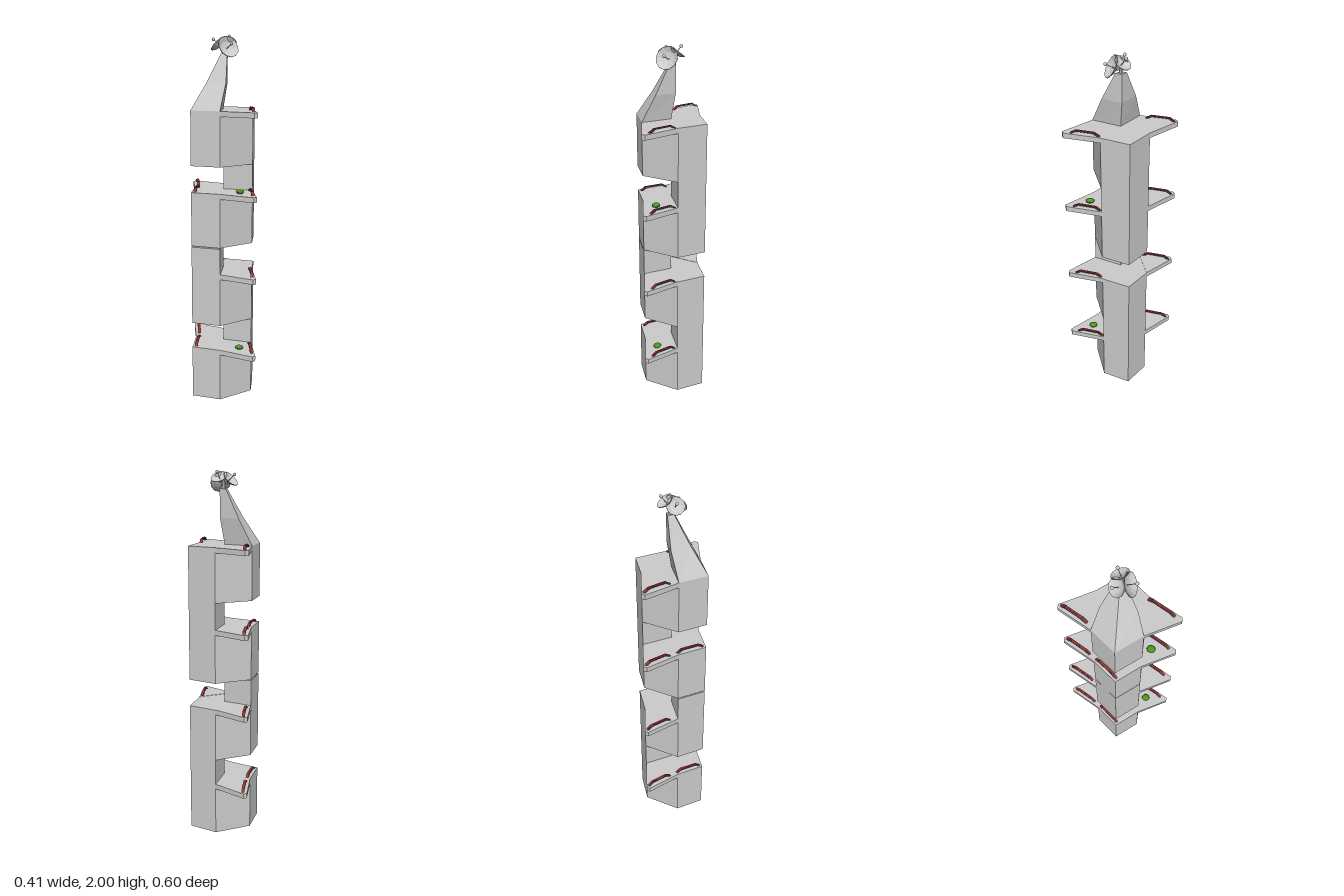
import * as THREE from 'three';

const mat = (color, opts = {}) => new THREE.MeshStandardMaterial({ color, flatShading: true, ...opts });
const grey = mat(0xcccccc);
const greyThin = mat(0xcccccc, { side: THREE.DoubleSide });
const dark = mat(0x555555);
const red = mat(0xdd1111);
const green = mat(0x4c9a1e);

const FLOORS = [0.295, 0.732, 1.175, 1.61];

function add(parent, name, geometry, material = grey) {
  const mesh = new THREE.Mesh(geometry, material);
  mesh.name = name;
  parent.add(mesh);
  return mesh;
}

const shapeOf = pts => new THREE.Shape(pts.map(p => new THREE.Vector2(...p)));

// Upright prism with plan corners [x, z] between two heights
function prism(plan, y0, y1) {
  const geo = new THREE.ExtrudeGeometry(shapeOf(plan.map(([x, z]) => [x, -z])), { depth: y1 - y0, bevelEnabled: false });
  return geo.rotateX(-Math.PI / 2).translate(0, y0, 0);
}

// Low arched rail along x: dark frame with a thin red stripe wrapped over it
function makeRail(x, y, z, angle) {
  const rail = new THREE.Group();
  rail.name = 'rail';
  const arch = (grow, width) => {
    const t = 0.005 + grow, h = 0.018;
    const geo = new THREE.ExtrudeGeometry(shapeOf([
      [-0.078 - grow, 0], [-0.05 - grow, h + grow], [0.05 + grow, h + grow], [0.078 + grow, 0],
      [0.07 - t / 2, 0], [0.047 - t / 2, h - t], [-0.047 + t / 2, h - t], [-0.07 + t / 2, 0],
    ]), { depth: width, bevelEnabled: false });
    return geo.translate(0, 0, -width / 2);
  };
  add(rail, 'railFrame', arch(0, 0.016), dark);
  add(rail, 'railStripe', arch(0.0015, 0.005), red);
  rail.position.set(x, y, z);
  rail.rotation.y = angle;
  return rail;
}

// Dish with its rim centred on the given point, facing along the direction
function makeDish(radius, center, direction) {
  const dish = new THREE.Group();
  dish.name = 'dish';
  const depth = radius * 0.4;
  const profile = [[0.001, -depth - 0.004], [0.6, -depth * 0.7 - 0.004], [1, -0.004], [1, 0], [0.6, -depth * 0.66], [0.001, -depth]]
    .map(([r, y]) => new THREE.Vector2(r * radius, y));
  add(dish, 'reflector', new THREE.LatheGeometry(profile, 12), greyThin);
  add(dish, 'feedRod', new THREE.CylinderGeometry(0.002, 0.002, 0.03 + depth, 6).translate(0, (0.03 - depth) / 2, 0));
  add(dish, 'feedBall', new THREE.SphereGeometry(0.009, 10, 8).translate(0, 0.03, 0), mat(0xcccccc, { flatShading: false }));
  add(dish, 'mount', new THREE.CylinderGeometry(0.008, 0.008, 0.02, 8).translate(0, -depth - 0.008, 0));
  dish.position.set(...center);
  dish.quaternion.setFromUnitVectors(new THREE.Vector3(0, 1, 0), new THREE.Vector3(...direction).normalize());
  return dish;
}

// Leaning four-sided spire lofted through diamond sections
function spireGeometry() {
  const rings = [
    // y, left x, side x, right x, half depth
    [1.61, -0.207, -0.105, 0, 0.127],
    [1.75, -0.107, -0.043, 0.027, 0.089],
    [1.9, -0.015, 0.005, 0.028, 0.03],
  ];
  const pos = [], index = [];
  for (const [y, l, m, r, d] of rings) pos.push(l, y, 0, m, y, d, r, y, 0, m, y, -d);
  for (let k = 0; k < rings.length - 1; k++) {
    for (let i = 0; i < 4; i++) {
      const a = k * 4 + i, b = k * 4 + (i + 1) % 4;
      index.push(a, b, b + 4, a, b + 4, a + 4);
    }
  }
  index.push(8, 9, 10, 8, 10, 11);
  const geo = new THREE.BufferGeometry();
  geo.setAttribute('position', new THREE.Float32BufferAttribute(pos, 3));
  geo.setIndex(index);
  const flat = geo.toNonIndexed();
  flat.computeVertexNormals();
  return flat;
}

export function createModel() {
  const tower = new THREE.Group();
  tower.name = 'tower';

  // Storeys: full hexagons alternating with a diamond half that leaves a terrace open
  const hexagon = [[-0.207, 0], [-0.105, 0.127], [0.105, 0.127], [0.207, 0], [0.105, -0.127], [-0.105, -0.127]];
  const diamond = s => [[0, 0], [s * 0.105, 0.127], [s * 0.207, 0], [s * 0.105, -0.127]];
  for (const base of [0, 0.88]) {
    add(tower, 'lowerStorey', prism(hexagon, base, base + 0.295));
    add(tower, 'rightCore', prism(diamond(1), base + 0.295, base + 0.438));
    add(tower, 'upperStorey', prism(hexagon, base + 0.438, base + 0.73));
  }
  add(tower, 'leftCore', prism(diamond(-1), 0.73, 0.874));

  // Pointed platforms, front and back of every floor
  for (const y of FLOORS) {
    for (const s of [1, -1]) {
      add(tower, 'platform', prism([[-0.105, s * 0.127], [-0.01, s * 0.3], [0.01, s * 0.3], [0.105, s * 0.127]], y - 0.028, y));
    }
    tower.add(makeRail(0.05, y, 0.195, 1.06));
    tower.add(makeRail(-0.03, y, -0.217, 1.06));
  }

  // Open left terraces: an extra rail and a shrub
  for (const y of [FLOORS[0], FLOORS[2]]) {
    tower.add(makeRail(-0.138, y, -0.055, 0.894));
    const shrub = add(tower, 'shrub', new THREE.IcosahedronGeometry(0.024, 1), green);
    shrub.scale.set(0.9, 0.5, 1);
    shrub.position.set(-0.005, y + 0.01, 0.167);
  }

  // Spire and its cluster of dishes
  add(tower, 'spire', spireGeometry());
  add(tower, 'mast', new THREE.CylinderGeometry(0.008, 0.012, 0.06, 8).translate(0.006, 1.92, 0));
  tower.add(makeDish(0.06, [0, 1.935, 0.05], [0, 0.48, 0.88]));
  tower.add(makeDish(0.047, [-0.03, 1.952, -0.012], [-0.45, 0.68, -0.58]));
  tower.add(makeDish(0.045, [0.034, 1.963, -0.004], [0.45, 0.8, -0.38]));

  return tower;
}
